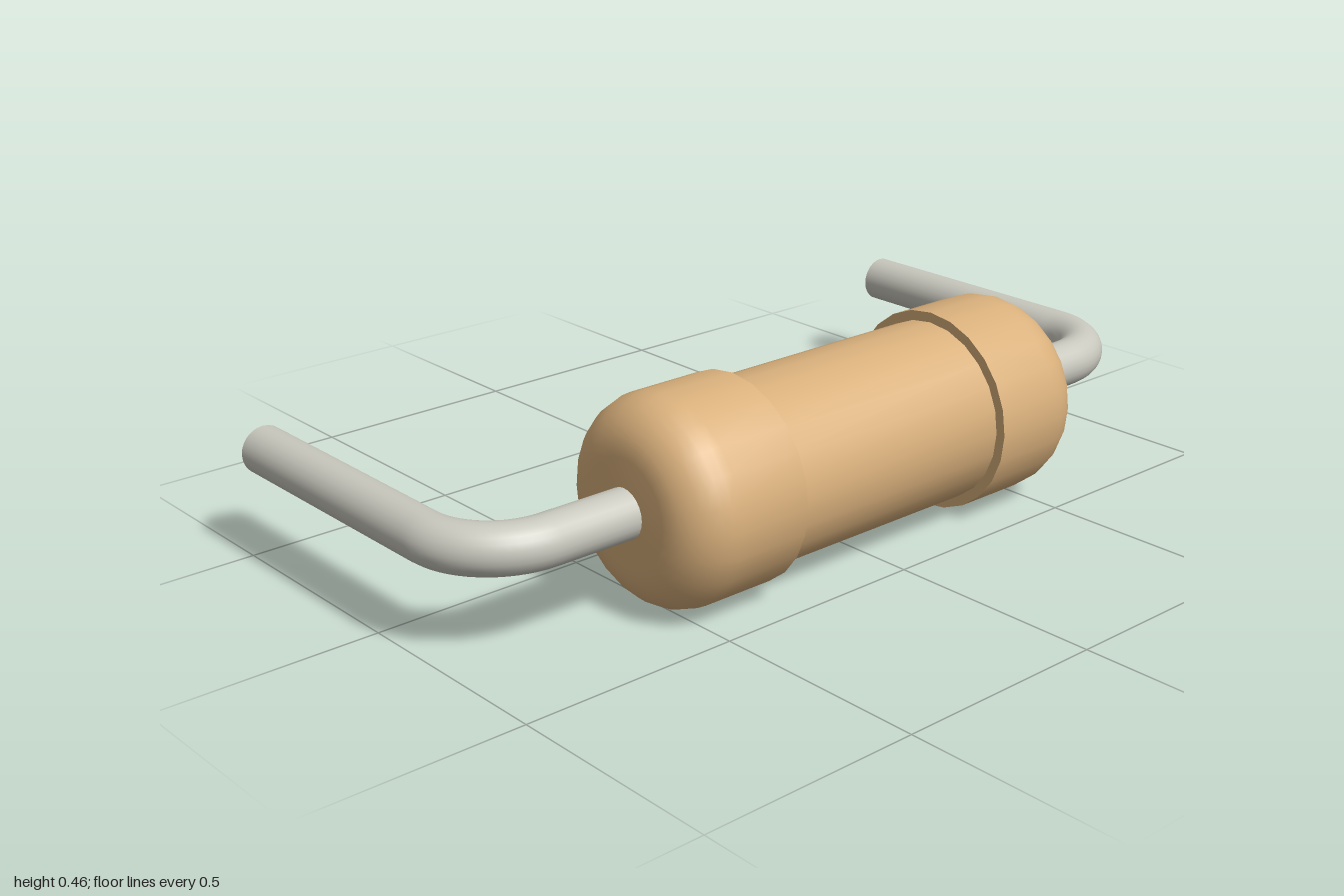
import * as THREE from 'three';
import { toCreasedNormals } from 'three/addons/utils/BufferGeometryUtils.js';

const AXIS_Y = 0.232, AXIS_Z = 0.28;
const v = (x, z) => new THREE.Vector3(x, AXIS_Y, z);

// Turned body: two rounded end caps joined by a slimmer barrel
function createBody(material) {
  const capR = 0.231, barrelR = 0.208, half = 0.585, step = 0.297, fillet = 0.112;
  const side = [new THREE.Vector2(barrelR, step), new THREE.Vector2(capR, step)];
  for (let i = 0; i <= 8; i++) {
    const a = (i / 8) * Math.PI / 2;
    side.push(new THREE.Vector2(
      capR - fillet + Math.cos(a) * fillet,
      half - fillet + Math.sin(a) * fillet));
  }
  side.push(new THREE.Vector2(0, half));
  const mirrored = side.map(p => new THREE.Vector2(p.x, -p.y)).reverse();
  const lathe = new THREE.LatheGeometry([...mirrored, ...side], 24);
  const body = new THREE.Mesh(toCreasedNormals(lathe, 0.7), material);
  body.name = 'body';
  body.rotation.z = -Math.PI / 2;
  body.position.set(0, AXIS_Y, AXIS_Z);
  return body;
}

// Wire lead: straight out of the body, round bend, straight to the back
function createLead(sign, material) {
  const r = 0.055, bend = 0.17, k = bend * 0.4477, endX = 0.945, backZ = -0.51;
  const path = new THREE.CurvePath();
  const a = v(sign * (endX - bend), AXIS_Z), b = v(sign * endX, AXIS_Z - bend);
  path.add(new THREE.LineCurve3(v(sign * 0.55, AXIS_Z), a));
  path.add(new THREE.CubicBezierCurve3(
    a, v(sign * (endX - k), AXIS_Z), v(sign * endX, AXIS_Z - k), b));
  path.add(new THREE.LineCurve3(b, v(sign * endX, backZ)));

  const lead = new THREE.Group();
  lead.name = sign > 0 ? 'leftLead' : 'rightLead';
  const wire = new THREE.Mesh(new THREE.TubeGeometry(path, 64, r, 24), material);
  wire.name = 'wire';
  const end = new THREE.Mesh(new THREE.CircleGeometry(r, 24), material);
  end.name = 'wireEnd';
  end.rotation.y = Math.PI;
  end.position.copy(v(sign * endX, backZ));
  lead.add(wire, end);
  return lead;
}

export function createModel() {
  const tan = new THREE.MeshStandardMaterial({ color: 0xd9b07c });
  const metal = new THREE.MeshStandardMaterial({ color: 0xc9c8be });
  const model = new THREE.Group();
  model.name = 'resistor';
  model.add(createBody(tan), createLead(1, metal), createLead(-1, metal));
  return model;
}
